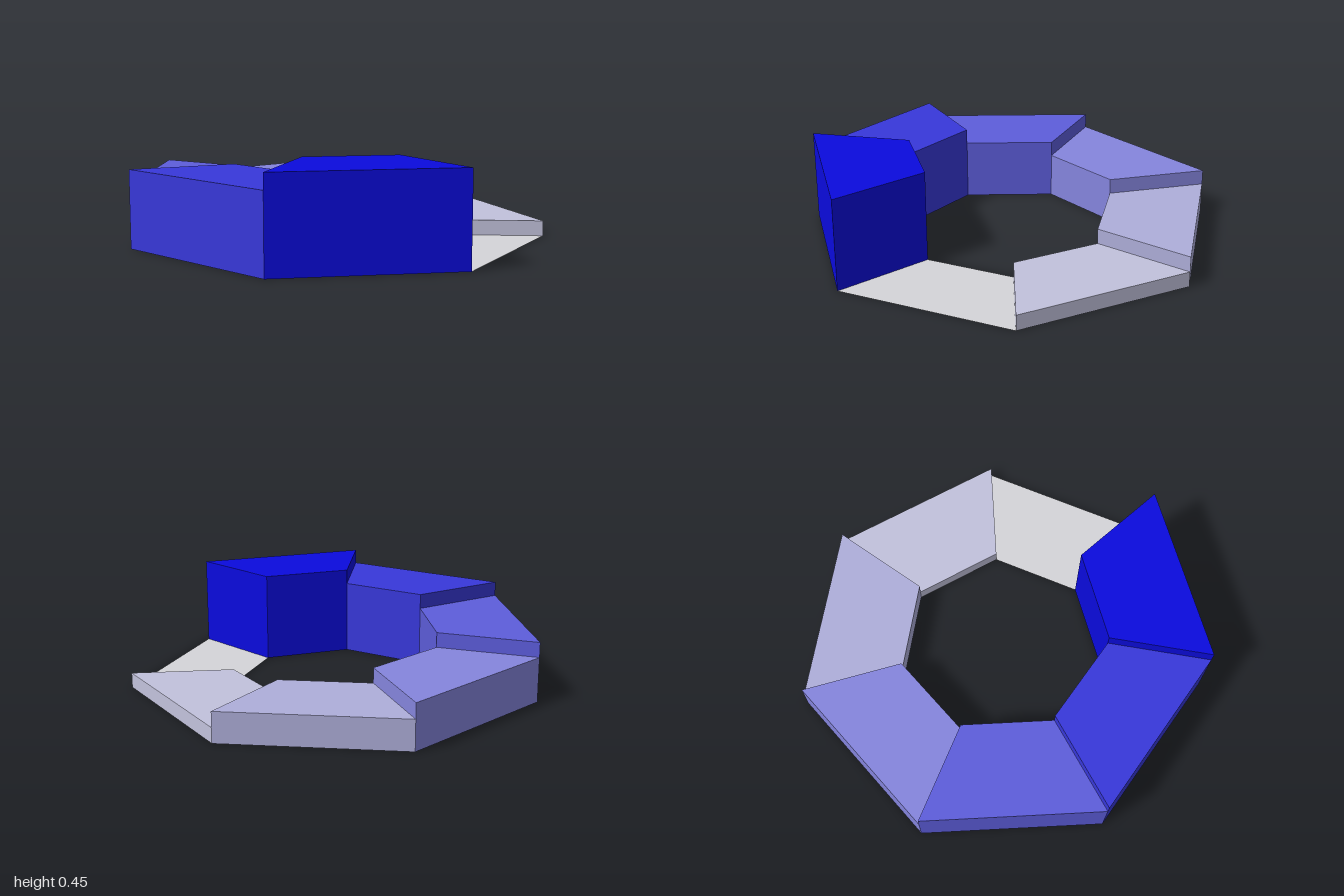
import * as THREE from 'three';

const SIDES = 7, OUTER = 1.026, INNER = 0.52, CENTRE_Z = 0.05, RISE = 0.075;

const colours = [
  ['deepBlue', 0x0b0bde], ['blue', 0x3838da], ['midBlue', 0x5d5ddb], ['softBlue', 0x8585dd],
  ['greyBlue', 0xaeaeda], ['paleGreyBlue', 0xc2c2dc], ['lightGrey', 0xd5d5d9],
];

// Corner of the ring; i = 0 is the front left corner, counting towards the model's right
function corner(radius, i, y) {
  const a = (i - 0.5) * Math.PI * 2 / SIDES;
  return [-radius * Math.sin(a), y, CENTRE_Z + radius * Math.cos(a)];
}

// Flat-shaded geometry from four-cornered faces
function quads(faces) {
  const positions = faces.flatMap(([a, b, c, d]) => [a, b, c, a, c, d].flat());
  const geometry = new THREE.BufferGeometry();
  geometry.setAttribute('position', new THREE.Float32BufferAttribute(positions, 3));
  geometry.computeVertexNormals();
  return geometry;
}

export function createModel() {
  const group = new THREE.Group();
  group.name = 'steppedRing';

  colours.forEach(([name, color], i) => {
    const material = new THREE.MeshStandardMaterial({ color, side: THREE.DoubleSide });
    material.name = name;

    const h = RISE * (SIDES - 1 - i);
    const out = (k, y) => corner(OUTER, k, y);
    const inn = (k, y) => corner(INNER, k, y);

    // Tread
    const faces = [[out(i, h), inn(i, h), inn(i + 1, h), out(i + 1, h)]];
    if (h > 0) {
      const next = h - RISE;
      faces.push(
        // Outer wall, inner wall, riser down to the next tread
        [out(i + 1, 0), out(i, 0), out(i, h), out(i + 1, h)],
        [inn(i, 0), inn(i + 1, 0), inn(i + 1, h), inn(i, h)],
        [inn(i + 1, next), out(i + 1, next), out(i + 1, h), inn(i + 1, h)],
      );
    }
    // Full-height end wall of the tallest step
    if (i === 0) faces.push([out(0, 0), inn(0, 0), inn(0, h), out(0, h)]);

    const step = new THREE.Mesh(quads(faces), material);
    step.name = 'step' + (i + 1);
    group.add(step);
  });

  return group;
}
